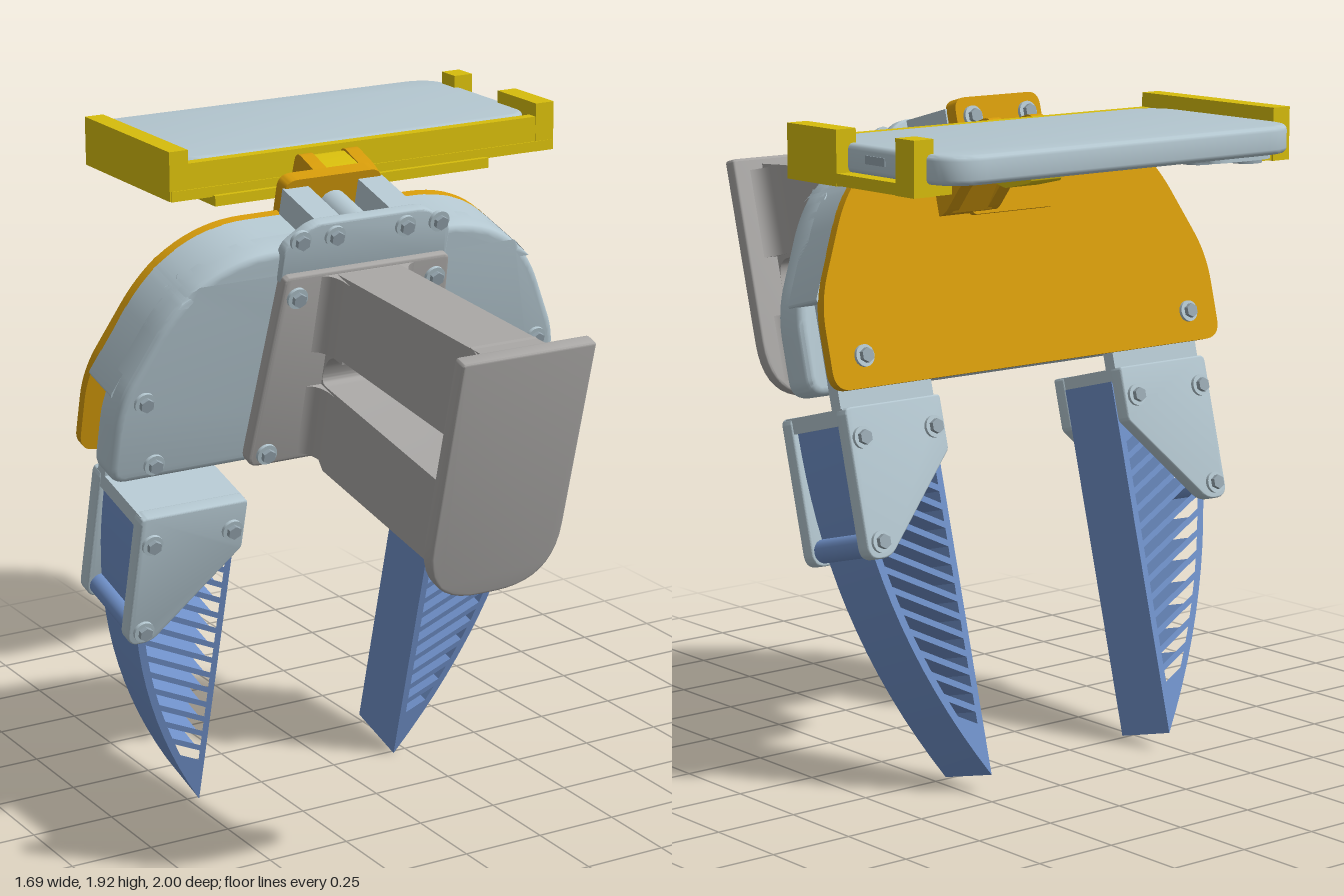
import * as THREE from 'three';
import { toCreasedNormals } from 'three/addons/utils/BufferGeometryUtils.js';

const material = (name, color) => Object.assign(new THREE.MeshStandardMaterial({ color }), { name });
const shell = material('pale blue grey', 0xb3c6cf);
const steel = material('bolt steel', 0x95a5ae);
const blue = material('finger blue', 0x6f90c8);
const grey = material('handle grey', 0xa8a6a4);
const orange = material('orange', 0xd49a0a);
const yellow = material('yellow', 0xd6bc0c);

const TILT = Math.PI / 12, CENTRE = -0.133;

function add(parent, name, geometry, mat, x = 0, y = 0, z = 0) {
  const mesh = new THREE.Mesh(geometry, mat);
  mesh.name = name;
  mesh.position.set(x, y, z);
  parent.add(mesh);
  return mesh;
}

// Box given by its limits
function box(parent, name, mat, x0, x1, y0, y1, z0, z1) {
  return add(parent, name, new THREE.BoxGeometry(x1 - x0, y1 - y0, z1 - z0), mat,
    (x0 + x1) / 2, (y0 + y1) / 2, (z0 + z1) / 2);
}

// Polygon of [x, y, cornerRadius] points
function rounded(points, Path = THREE.Shape) {
  const path = new Path();
  const v = points.map(p => new THREE.Vector2(p[0], p[1]));
  v.forEach((p, i) => {
    const r = points[i][2] || 0;
    const toward = q => p.clone().add(q.clone().sub(p).setLength(r));
    const a = toward(v[(i + v.length - 1) % v.length]), b = toward(v[(i + 1) % v.length]);
    if (i === 0) path.moveTo(a.x, a.y); else path.lineTo(a.x, a.y);
    if (r) path.quadraticCurveTo(p.x, p.y, b.x, b.y);
  });
  path.closePath();
  return path;
}

// Extrusion between two depths with an optional bevel inside the outline
function slab(shape, z0, z1, bevel = 0) {
  const g = new THREE.ExtrudeGeometry(shape, {
    depth: z1 - z0 - 2 * bevel, curveSegments: 10, bevelEnabled: bevel > 0,
    bevelSize: bevel, bevelThickness: bevel, bevelOffset: -bevel, bevelSegments: 3,
  });
  g.translate(0, 0, z0 + bevel);
  return toCreasedNormals(g, 0.6);
}

// Washer with a hexagonal bolt head; dir is +1 for front, -1 for back
function bolt(parent, x, y, z, dir = 1) {
  const washer = new THREE.CylinderGeometry(0.031, 0.031, 0.012, 20).rotateX(Math.PI / 2);
  const head = new THREE.CylinderGeometry(0.021, 0.021, 0.024, 6).rotateX(Math.PI / 2);
  add(parent, 'boltWasher', washer, shell, x, y, z + dir * 0.004);
  add(parent, 'boltHead', toCreasedNormals(head, 0.5), steel, x, y, z + dir * 0.012);
}

const mirrorX = half => half.concat(half.slice().reverse().map(([x, y, r]) => [-x, y, r]));

function buildBody(parent) {
  const upper = [[0.58, 1.58, 0.08], [0.43, 1.73, 0.16]];
  const outline = rounded(mirrorX([[0.712, 1.062, 0.055], [0.712, 1.31, 0.08], ...upper]));
  const rear = rounded(mirrorX([[0.712, 1.31, 0.02], ...upper]));
  add(parent, 'housingFront', slab(outline, -0.41, -0.3, 0.02), shell);
  add(parent, 'housingRear', slab(rear, -0.495, -0.36), shell);
  add(parent, 'backPlate', slab(outline, -0.522, -0.493), orange);
  // top clevis: front flange, two cheeks and a floor
  const flange = rounded(mirrorX([[0.265, 1.64, 0.01], [0.265, 1.75, 0.03], [0.18, 1.812, 0.03]]));
  add(parent, 'topFlange', slab(flange, -0.318, -0.28, 0.006), shell);
  for (const s of [-1, 1]) {
    box(parent, 'topCheek', shell, s * 0.12 - 0.04, s * 0.12 + 0.04, 1.68, 1.808, -0.5, -0.31);
    for (const d of [0.112, 0.22]) bolt(parent, s * d, 1.77, -0.28);
    bolt(parent, s * 0.635, 1.32, -0.3);
    bolt(parent, s * 0.583, 1.113, -0.3);
    bolt(parent, s * 0.6, 1.15, -0.522, -1);
    bolt(parent, s * 0.1, 1.775, -0.54, -1);
  }
  const pin = new THREE.CylinderGeometry(0.045, 0.045, 0.17, 20).rotateX(Math.PI / 2);
  add(parent, 'topPin', pin, shell, 0, 1.745, -0.4);
  const tab = rounded(mirrorX([[0.155, 1.5, 0.02], [0.155, 1.832, 0.04]]));
  add(parent, 'backTab', slab(tab, -0.54, -0.495), orange);
}

// Side boundary of a finger at height y
const outer = y => 0.335 + 0.315 * (1 - Math.pow(Math.max(0, 1 - (y + 0.056) / 1.04), 2.2));

function buildFinger(parent, s) {
  const group = new THREE.Group();
  group.name = s > 0 ? 'leftFinger' : 'rightFinger';
  parent.add(group);

  // tapered finger with slanted slots between its ribs
  const points = [[s * 0.335, 0.98], [s * 0.335, -0.056]];
  for (let i = 1; i <= 16; i++) {
    const y = -0.056 + i * 1.036 / 16;
    points.push([s * outer(y), y]);
  }
  const shape = rounded(points);
  const reach = y => {
    let x = 0.4;
    for (let k = 0; k < 14; k++) x = outer(y + 0.5 * (x - 0.355)) - 0.024;
    return [x, y + 0.5 * (x - 0.355)];
  };
  for (let y = 0.04; y < 0.8; y += 0.052) {
    const low = reach(y), high = reach(y + 0.033);
    if (low[0] < 0.38) continue;
    shape.holes.push(rounded([[s * 0.355, y], [s * low[0], low[1]],
      [s * high[0], high[1]], [s * 0.355, y + 0.033]], THREE.Path));
  }
  add(group, 'ribbedFinger', slab(shape, -0.441, -0.229), blue);

  // front and rear clamp plates with cross bars
  const plate = rounded([[s * 0.335, 1.017, 0.01], [s * 0.667, 1.017, 0.02], [s * 0.667, 0.594, 0.04],
    [s * 0.59, 0.594, 0.03], [s * 0.335, 0.862, 0.01]]);
  add(group, 'frontClampPlate', slab(plate, -0.228, -0.182, 0.005), shell);
  add(group, 'rearClampPlate', slab(plate, -0.49, -0.442, 0.005), shell);
  add(group, 'clampTop', new THREE.BoxGeometry(0.325, 0.045, 0.27), shell, s * 0.5, 0.993, -0.335);
  const rod = new THREE.CylinderGeometry(0.034, 0.034, 0.25, 20).rotateX(Math.PI / 2);
  add(group, 'clampRod', rod, blue, s * 0.626, 0.636, -0.335);
  add(group, 'link', new THREE.BoxGeometry(0.325, 0.34, 0.042), shell, s * 0.5, 1.17, -0.443);
  for (const [x, y] of [[0.627, 0.93], [0.377, 0.93], [0.622, 0.64]]) {
    bolt(group, s * x, y, -0.182);
    bolt(group, s * x, y, -0.49, -1);
  }
}

function buildHandle(tilted, root) {
  const base = rounded(mirrorX([[0.305, 1.07, 0.04], [0.262, 1.67, 0.02]]));
  add(tilted, 'handleBase', slab(base, -0.302, -0.258, 0.008), grey);
  for (const s of [-1, 1]) {
    bolt(tilted, s * 0.22, 1.605, -0.258);
    bolt(tilted, s * 0.25, 1.11, -0.258);
  }
  const end = rounded(mirrorX([[0.205, 1.096, 0.18], [0.205, 1.838, 0.012]]));
  add(tilted, 'handleEndPlate', slab(end, 0.497, 0.541, 0.008), grey);

  // grip side profile in z and y, with its long slot
  const grip = rounded([[0.955, 1.625], [0.14, 1.672], [0.01, 1.17], [0.05, 1.13], [0.095, 1.078], [0.785, 0.957]]);
  grip.holes.push(rounded([[0.835, 1.2, 0.01], [0.875, 1.345, 0.07], [0.13, 1.435, 0.07],
    [0.09, 1.335, 0.03]], THREE.Path));
  const g = slab(grip, -0.1, 0.1).rotateY(-Math.PI / 2);
  add(root, 'handleGrip', g, grey, CENTRE);

  // concave fillets where the grip meets its two plates
  const fillet = (z, dir, y0, y1) => {
    const f = new THREE.Shape();
    f.moveTo(-0.165, -z);
    f.quadraticCurveTo(-0.1, -z, -0.1, -(z + dir * 0.09));
    f.lineTo(0.1, -(z + dir * 0.09));
    f.quadraticCurveTo(0.1, -z, 0.165, -z);
    add(tilted, 'gripFillet', slab(f, y0, y1).rotateX(-Math.PI / 2), grey);
  };
  fillet(-0.26, 1, 1.42, 1.66);
  fillet(-0.26, 1, 1.09, 1.31);
  fillet(0.499, -1, 1.53, 1.8);
  fillet(0.499, -1, 1.15, 1.35);
}

function buildPhoneMount(root) {
  const mount = new THREE.Group();
  mount.name = 'phoneMount';
  root.add(mount);

  // hinge arm profile in z and y
  const arm = rounded([[-0.06, 1.76, 0.01], [-0.1, 1.585, 0.01], [-0.14, 1.6, 0.02], [-0.22, 1.7, 0.04],
    [-0.33, 1.72, 0.03], [-0.37, 1.79, 0.03], [-0.335, 1.89, 0.03], [-0.19, 1.84, 0.06], [-0.11, 1.74, 0.03]]);
  const armGeometry = slab(arm, -0.022, 0.022).rotateY(-Math.PI / 2);
  for (const x of [-0.045, 0.105]) add(mount, 'hingeCheek', armGeometry, orange, x);
  const foot = rounded([[-0.06, 1.74], [-0.1, 1.585], [-0.14, 1.6], [-0.2, 1.7], [-0.15, 1.76]]);
  add(mount, 'hingeFoot', slab(foot, -0.07, 0.07).rotateY(-Math.PI / 2), orange, 0.03);
  const knuckle = rounded([[-0.19, 1.8, 0.03], [-0.22, 1.72, 0.03], [-0.35, 1.69, 0.01], [-0.46, 1.715, 0.01],
    [-0.47, 1.79, 0], [-0.37, 1.79, 0.01], [-0.34, 1.882, 0.03], [-0.2, 1.845, 0.03]]);
  add(mount, 'hingeKnuckle', slab(knuckle, -0.054, 0.054).rotateY(-Math.PI / 2), yellow, 0.03);
  const pin = new THREE.CylinderGeometry(0.035, 0.035, 0.23, 6).rotateZ(Math.PI / 2);
  add(mount, 'hingeBolt', toCreasedNormals(pin, 0.5), shell, 0.03, 1.785, -0.255);

  // cradle around the phone
  box(mount, 'cradleRail', yellow, -0.32, 0.6, 1.755, 1.785, -0.47, -0.356);
  box(mount, 'cradleFloor', yellow, -0.45, 0.84, 1.78, 1.81, -0.6, -0.372);
  box(mount, 'cradleFrontWall', yellow, -0.44, 0.82, 1.785, 1.885, -0.41, -0.376);
  box(mount, 'cradleRightWall', yellow, -0.455, -0.395, 1.781, 1.925, -0.905, -0.375);
  box(mount, 'cradleRightFloor', yellow, -0.45, -0.33, 1.783, 1.81, -0.9, -0.58);
  box(mount, 'cradleLeftFloor', yellow, 0.72, 0.84, 1.781, 1.812, -0.905, -0.58);
  box(mount, 'cradleLeftPost', yellow, 0.778, 0.841, 1.78, 1.925, -0.905, -0.83);
  box(mount, 'cradleLeftPost', yellow, 0.778, 0.841, 1.779, 1.925, -0.585, -0.374);

  // phone lying flat, with ports and a camera bump underneath
  const outline = rounded([[-0.412, 0.412, 0.12], [0.803, 0.412, 0.12], [0.803, 1, 0.12], [-0.412, 1, 0.12]]);
  add(mount, 'phone', slab(outline, 1.811, 1.888, 0.015).rotateX(-Math.PI / 2), shell);
  box(mount, 'phonePort', steel, 0.8, 0.806, 1.841, 1.863, -0.74, -0.66);
  box(mount, 'phoneButton', steel, -0.02, 0.12, 1.841, 1.861, -1, -0.992);
  const bump = rounded([[-0.37, 0.7, 0.06], [-0.13, 0.7, 0.06], [-0.13, 0.95, 0.06], [-0.37, 0.95, 0.06]]);
  add(mount, 'cameraBump', slab(bump, 1.795, 1.82).rotateX(-Math.PI / 2), shell);
  for (const [x, z] of [[-0.31, -0.765], [-0.31, -0.885], [-0.19, -0.825]]) {
    add(mount, 'cameraLens', new THREE.CylinderGeometry(0.046, 0.046, 0.02, 24), steel, x, 1.793, z);
  }
}

export function createModel() {
  const root = new THREE.Group();
  root.name = 'gripperWithPhoneMount';
  const tilted = new THREE.Group();
  tilted.name = 'gripper';
  tilted.rotation.x = TILT;
  tilted.position.x = CENTRE;
  root.add(tilted);
  buildBody(tilted);
  for (const s of [-1, 1]) buildFinger(tilted, s);
  buildHandle(tilted, root);
  buildPhoneMount(root);
  return root;
}
